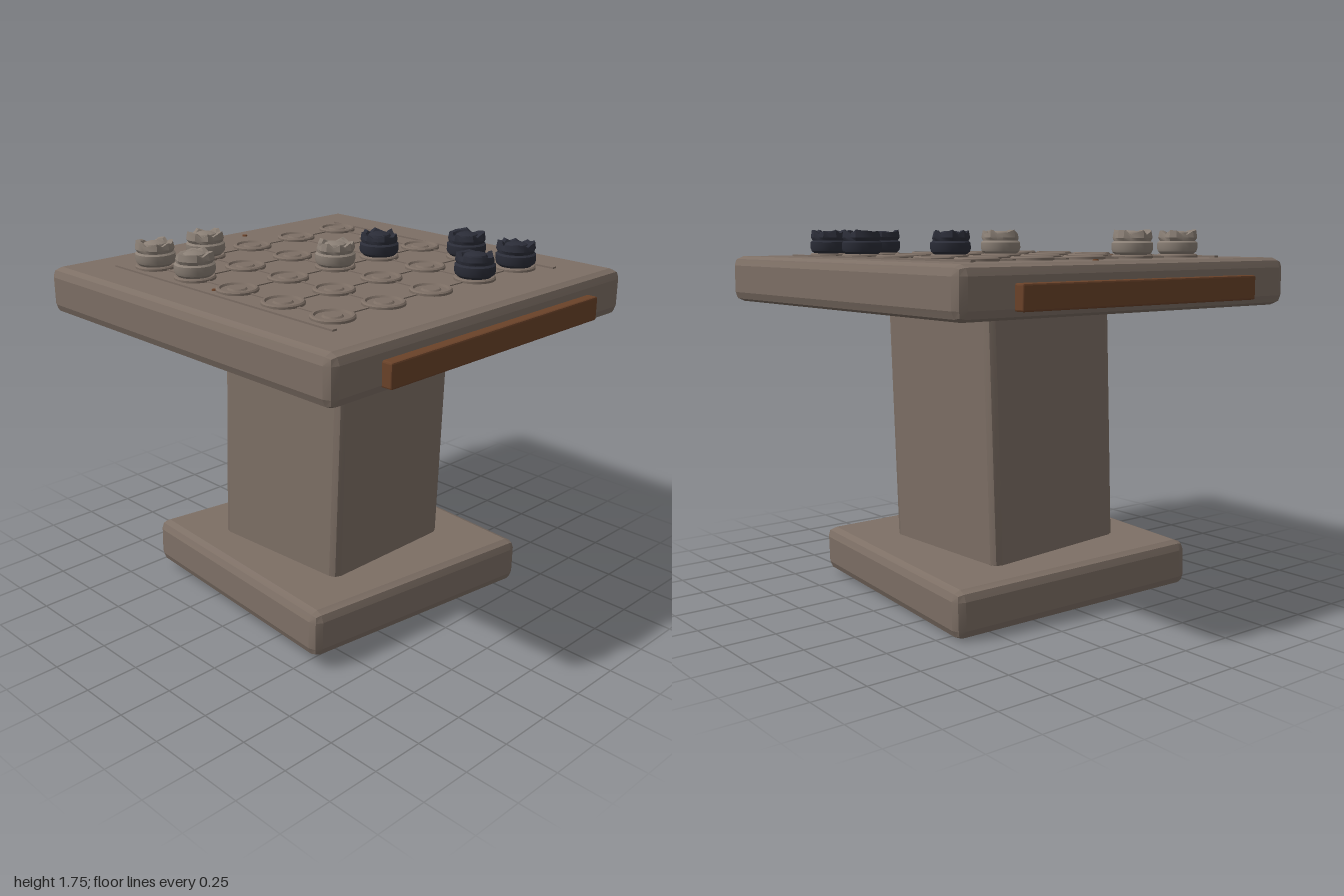
import * as THREE from 'three';
import { toCreasedNormals } from 'three/addons/utils/BufferGeometryUtils.js';
import { RoundedBoxGeometry } from 'three/addons/geometries/RoundedBoxGeometry.js';

const TOP = 1.62;      // height of the table surface
const STEP = 0.297;    // spacing of the board points

function material(name, color) {
  const m = new THREE.MeshStandardMaterial({ color });
  m.name = name;
  return m;
}

function addMesh(parent, name, geometry, mat, x = 0, y = 0, z = 0) {
  const mesh = new THREE.Mesh(geometry, mat);
  mesh.name = name;
  mesh.position.set(x, y, z);
  parent.add(mesh);
  return mesh;
}

// Box with faceted, worn edges
function block(w, h, d, bevel) {
  return toCreasedNormals(new RoundedBoxGeometry(w, h, d, 1, bevel), 0.35);
}

function lathe(points, segments) {
  return new THREE.LatheGeometry(points.map(([r, y]) => new THREE.Vector2(r, y)), segments);
}

// Small seeded random generator
function seeded(seed) {
  let s = seed;
  return () => (s = (s * 16807) % 2147483647) / 2147483647;
}

// Playing piece: bulging drum with a chipped rim around a central button
function pieceGeometry(seed) {
  const profile = [
    [0, 0.005], [0.072, 0.005], [0.09, 0.02], [0.095, 0.035], [0.094, 0.062],
    [0.084, 0.07], [0.09, 0.085], [0.084, 0.115], [0.066, 0.112], [0.056, 0.096],
    [0.05, 0.108], [0.035, 0.114], [0, 0.116],
  ];
  const segments = 18;
  const geo = lathe(profile, segments);
  const random = seeded(seed);
  const chips = Array.from({ length: segments }, () => random());
  const pos = geo.attributes.position;
  for (let i = 0; i < pos.count; i++) {
    const row = i % profile.length;
    const chip = chips[Math.floor(i / profile.length) % segments];
    if (row === 7 || row === 8) pos.setY(i, pos.getY(i) + 0.008 - chip * 0.025);
    if (row === 6 || row === 7) {
      const k = 1.04 - chip * 0.1;
      pos.setX(i, pos.getX(i) * k);
      pos.setZ(i, pos.getZ(i) * k);
    }
  }
  return toCreasedNormals(geo, 0.5);
}

export function createModel() {
  const stone = material('stone', 0x7d6f65);
  const wood = material('wood', 0x6a4229);
  const lightStone = material('light piece stone', 0x8b8076);
  const darkStone = material('dark piece stone', 0x2b2d38);

  const model = new THREE.Group();
  model.name = 'gameTable';

  // Leaning foot and pillar under a level slab
  const foot = addMesh(model, 'foot', block(1.3, 0.22, 1.3, 0.045), stone, 0, 0.144, 0);
  foot.rotation.set(-0.035, -0.085, 0.011);
  const pillar = addMesh(model, 'pillar', block(0.77, 1.24, 0.77, 0.04), stone, -0.003, 0.82, 0);
  pillar.rotation.set(-0.022, 0.045, -0.018);
  addMesh(model, 'tableTop', block(1.9, 0.22, 1.9, 0.045), stone, 0, 1.51, 0);

  // Wooden rails on both sides
  for (const side of [-1, 1]) {
    addMesh(model, 'sideRail', block(0.1, 0.11, 1.36, 0.008), wood, side * 0.95, 1.49, 0);
  }

  // Raised border strips and grid lines
  const board = new THREE.Group();
  board.name = 'board';
  model.add(board);
  const borderGeo = new THREE.BoxGeometry(1.46, 0.016, 0.025);
  for (const side of [-1, 1]) addMesh(board, 'borderStrip', borderGeo, stone, 0, TOP, side * 0.715);
  const rowGeo = new THREE.BoxGeometry(STEP * 4, 0.01, 0.014);
  const columnGeo = new THREE.BoxGeometry(0.014, 0.01, STEP * 4);
  for (let i = -2; i <= 2; i++) {
    addMesh(board, 'rowLine', rowGeo, stone, 0, TOP, i * STEP);
    addMesh(board, 'columnLine', columnGeo, stone, i * STEP, TOP, 0);
  }

  // Ringed seat at every point
  const seatGeo = toCreasedNormals(lathe([
    [0.095, 0], [0.095, 0.01], [0.089, 0.016], [0.079, 0.016], [0.073, 0.007],
    [0.045, 0.007], [0.038, 0.014], [0, 0.014],
  ], 28), 0.5);
  for (let i = -2; i <= 2; i++) {
    for (let j = -2; j <= 2; j++) {
      addMesh(board, 'pointRing', seatGeo, stone, i * STEP, TOP, j * STEP);
    }
  }

  // Pieces, given as column and row on the board
  const sets = [
    ['lightPiece', lightStone, [[-2, 1], [-2, 2], [-1, 2], [0, 0]]],
    ['darkPiece', darkStone, [[1, -2], [2, -2], [0, -1], [2, -1]]],
  ];
  let seed = 11;
  for (const [name, mat, places] of sets) {
    for (const [i, j] of places) {
      seed += 7919;
      addMesh(model, name, pieceGeometry(seed), mat, i * STEP, TOP + 0.007, j * STEP);
    }
  }

  // Tiny wood chips lying on the slab
  const chipGeo = new THREE.CylinderGeometry(0.012, 0.014, 0.006, 6);
  for (const [x, z] of [[-0.82, -0.14], [-0.07, 0.665]]) {
    addMesh(model, 'woodChip', chipGeo, wood, x, TOP + 0.003, z);
  }
  return model;
}
